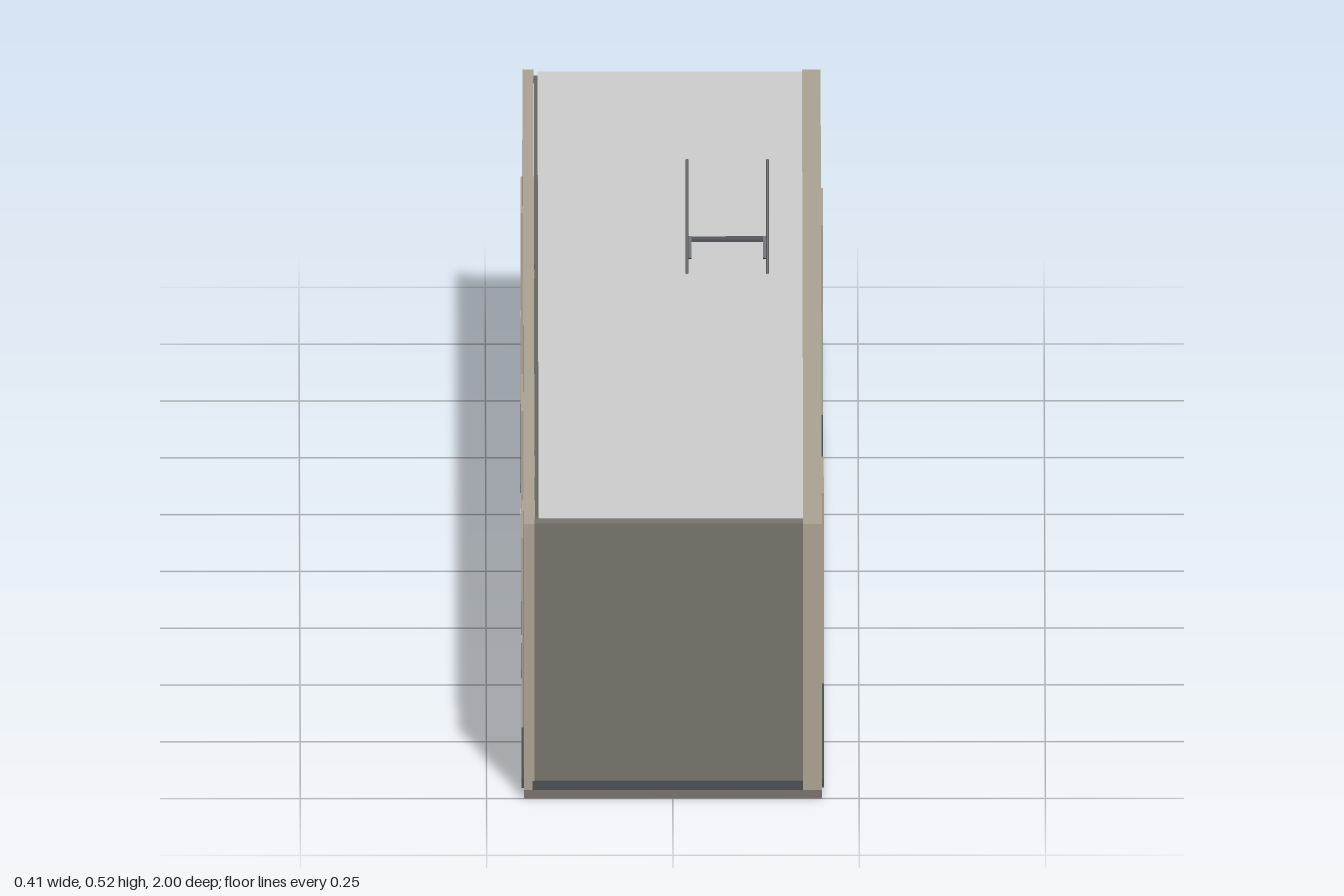
import * as THREE from 'three';

const mat = (color, extra = {}) => new THREE.MeshStandardMaterial({ color, ...extra });
const M = {
  wall: mat(0xaaa190), end: mat(0x76736a), dark: mat(0x4b4f50), roof: mat(0xcccccc),
  floor: mat(0x77726a), door: mat(0xff00ff), green: mat(0x52665a),
  metal: mat(0x55565a), ceiling: mat(0x66655f), lamp: mat(0x75808c),
};
const H = 0.387, BASE = 0.012, DOOR_TOP = 0.283;

// Box given by its two extreme corners
function box(name, material, x0, x1, y0, y1, z0, z1) {
  const m = new THREE.Mesh(new THREE.BoxGeometry(x1 - x0, y1 - y0, z1 - z0), material);
  m.position.set((x0 + x1) / 2, (y0 + y1) / 2, (z0 + z1) / 2);
  m.name = name;
  return m;
}

// Outline in (z, y) extruded between x0 and x1
function slab(name, material, points, x0, x1) {
  const shape = new THREE.Shape(points.map(([z, y]) => new THREE.Vector2(z, y)));
  const geo = new THREE.ExtrudeGeometry(shape, { depth: x1 - x0, bevelEnabled: false });
  const m = new THREE.Mesh(geo, material);
  m.rotation.y = -Math.PI / 2;
  m.position.x = x1;
  m.name = name;
  return m;
}

// Round bar between two points
function bar(name, material, a, b, r, sides = 8) {
  const p = new THREE.Vector3(...a), q = new THREE.Vector3(...b);
  const m = new THREE.Mesh(new THREE.CylinderGeometry(r, r, p.distanceTo(q), sides), material);
  m.position.copy(p).add(q).multiplyScalar(0.5);
  m.quaternion.setFromUnitVectors(new THREE.Vector3(0, 1, 0), q.sub(p).normalize());
  m.name = name;
  return m;
}

// Door leaf, frame and handles set through a wall
function door(z, x0, x1) {
  const g = new THREE.Group();
  g.name = 'door';
  const w = 0.068, f = 0.081, top = DOOR_TOP, cap = 0.293;
  const frame = [[z - f, BASE], [z - w, BASE], [z - w, top], [z + w, top],
    [z + w, BASE], [z + f, BASE], [z + f, cap], [z - f, cap]];
  const mid = (x0 + x1) / 2;
  g.add(slab('doorFrame', M.wall, frame, x0 - 0.003, x1 + 0.003));
  g.add(box('doorLeaf', M.door, mid - 0.005, mid + 0.005, BASE, top, z - w, z + w));
  for (const s of [-1, 1]) {
    const xo = mid + s * 0.007;
    g.add(box('handlePlate', M.roof, xo - 0.002, xo + 0.002, 0.125, 0.15, z + w - 0.014, z + w - 0.006));
    g.add(box('doorHandle', M.roof, xo + s * 0.003 - 0.001, xo + s * 0.003 + 0.001, 0.138, 0.142, z + w - 0.03, z + w - 0.006));
  }
  return g;
}

// Side wall with doorways, skirting and inner panelling
function sideWall(name, side, thick, doors) {
  const g = new THREE.Group();
  g.name = name;
  const x0 = side > 0 ? 0.2 - thick : -0.2, x1 = x0 + thick;
  const inner = side > 0 ? x0 : x1, outer = side * 0.2;
  const pts = [[-1, BASE]];
  let from = -1;
  for (const z of [...doors, null]) {
    const a = z === null ? 1 : z - 0.075, b = z + 0.075;
    const strip = (n, m, x, out, y0, y1, s, e) =>
      g.add(box(n, m, Math.min(x, x + out), Math.max(x, x + out), y0, y1, s, e));
    const s = from === -1 ? -0.985 : from + 0.006, e = z === null ? 0.99 : a - 0.006;
    strip('outerSkirting', M.dark, outer, side * 0.003, BASE, 0.025, s, e);
    strip('innerPanelling', M.green, inner, -side * 0.003, BASE, 0.2, s, e - (z === null ? 0.02 : 0));
    if (z !== null) {
      pts.push([a, BASE], [a, DOOR_TOP + 0.005], [b, DOOR_TOP + 0.005], [b, BASE]);
      g.add(door(z, x0, x1));
    }
    from = b;
  }
  pts.push([1, BASE], [1, H], [-1, H]);
  g.add(slab('wallPanel', M.wall, pts, x0, x1));
  return g;
}

export function createModel() {
  const root = new THREE.Group();
  root.name = 'corridorModule';

  // Shell, open at the back
  root.add(box('floor', M.floor, -0.2, 0.2, 0, BASE, -1, 1));
  root.add(sideWall('leftWall', 1, 0.025, [-0.69, 0.49]));
  root.add(sideWall('rightWall', -1, 0.0145, [-0.742, 0.128, 0.685]));
  root.add(box('frontWall', M.end, -0.1855, 0.175, BASE, H, 0.975, 0.998));
  root.add(box('frontSkirting', M.dark, -0.188, 0.187, BASE, 0.025, 0.998, 1));
  root.add(box('roof', M.roof, -0.18, 0.175, 0.38, H + 0.001, -0.988, 0.977));
  root.add(box('ceiling', M.ceiling, -0.185, 0.175, 0.373, 0.38, -0.995, 0.975));

  // Half-height end panels at the open end
  for (const s of [-1, 1]) {
    root.add(box('endPanel', M.green, s * 0.127 - 0.047, s * 0.127 + 0.047, BASE, 0.205, -0.985, -0.978));
  }

  // Ceiling rails, cross ribs and lamps
  for (const s of [-1, 1]) {
    for (const x of [0.115, 0.14]) {
      root.add(box('ceilingRail', M.dark, s * x - 0.006, s * x + 0.006, 0.355, 0.373, -0.97, 0.97));
    }
    for (let i = 0; i < 6; i++) {
      const z = -0.85 + i * 0.34;
      root.add(box('ceilingLamp', M.lamp, s * 0.128 - 0.03, s * 0.128 + 0.03, 0.345, 0.355, z - 0.06, z + 0.06));
    }
  }
  for (let i = 0; i < 6; i++) {
    const z = -0.9 + i * 0.36;
    root.add(box('ceilingRib', M.dark, -0.11, 0.11, 0.367, 0.373, z - 0.006, z + 0.006));
  }

  // Roof bracket: two slanted rods and a low crossbar on stubs
  const bracket = new THREE.Group();
  bracket.name = 'roofBracket';
  for (const x of [0.02, 0.128]) {
    bracket.add(bar('slantedRod', M.metal, [x, 0.386, -0.098], [x, 0.524, -0.176], 0.002));
    const stubX = x < 0.07 ? x + 0.003 : x - 0.003;
    const stub = box('bracketStub', M.dark, stubX - 0.003, stubX + 0.003, 0.386, 0.416, -0.178, -0.164);
    stub.rotation.x = -0.5;
    bracket.add(stub);
  }
  bracket.add(box('bracketCrossbar', M.metal, 0.021, 0.127, 0.408, 0.411, -0.191, -0.176));
  root.add(bracket);

  return root;
}
